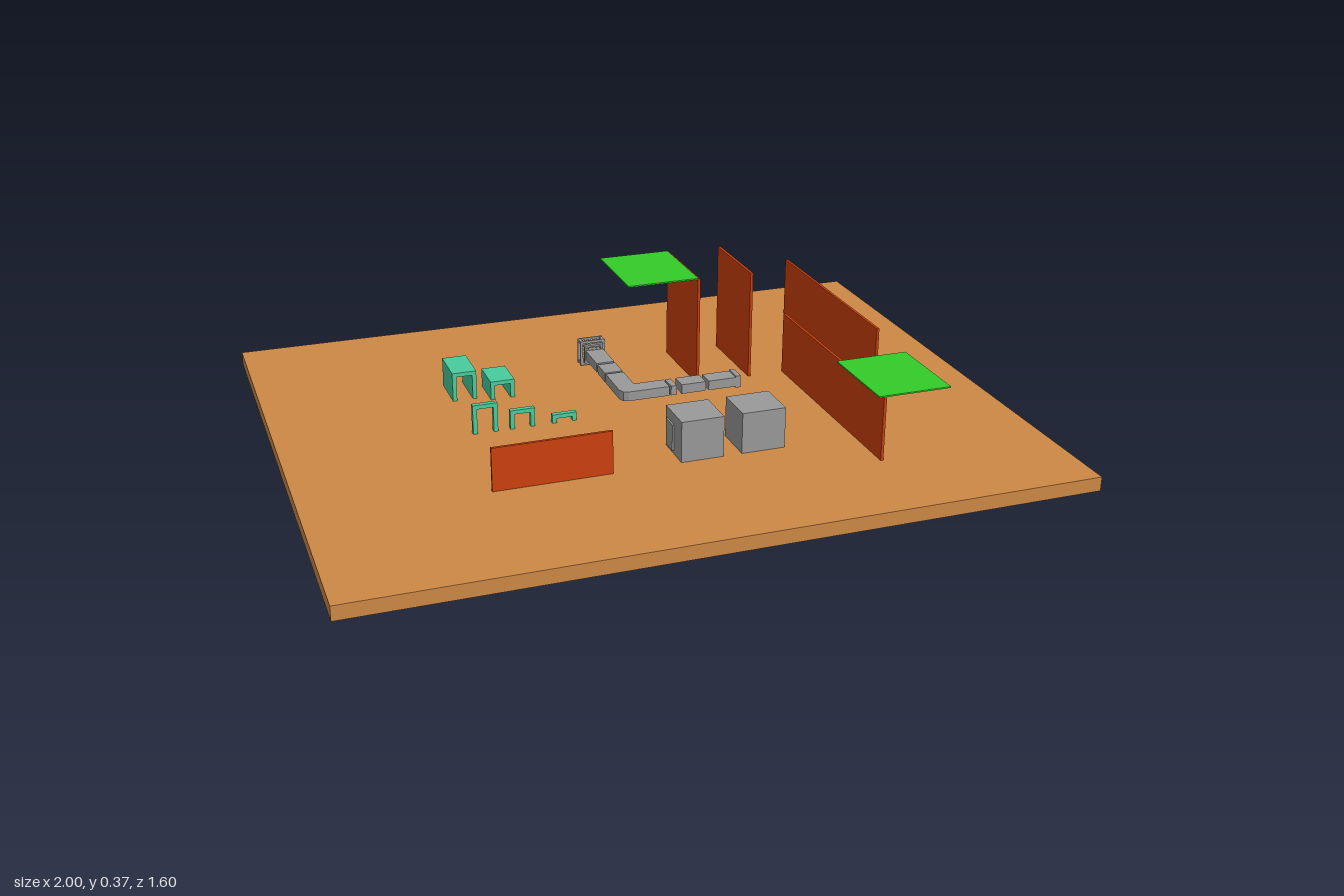
import * as THREE from 'three';

const mat = (color) => new THREE.MeshStandardMaterial({ color, flatShading: true, side: THREE.DoubleSide });

export function createModel() {
  const model = new THREE.Group();
  const earth = mat(0xcc8844), red = mat(0xcc400c), green = mat(0x33cc29);
  const teal = mat(0x48cc9c), grey = mat(0x999999);
  const FLOOR = 0.04;

  const add = (name, geometry, material) => {
    const mesh = new THREE.Mesh(geometry, material);
    mesh.name = name;
    model.add(mesh);
    return mesh;
  };
  // Box given by its minimum and maximum on each axis
  const box = (name, material, x0, x1, y0, y1, z0, z1) =>
    add(name, new THREE.BoxGeometry(x1 - x0, y1 - y0, z1 - z0), material)
      .position.set((x0 + x1) / 2, (y0 + y1) / 2, (z0 + z1) / 2);
  // Outline of [x, y] points
  const outline = (pts) => new THREE.Shape(pts.map(([x, y]) => new THREE.Vector2(x, y)));
  const extrude = (shape, depth) => new THREE.ExtrudeGeometry(shape, { depth, bevelEnabled: false });

  box('ground', earth, -1, 1, 0, FLOOR, -0.8, 0.8);

  // Free-standing walls
  const T = 0.004;
  for (const [x, z0, z1, top] of [
    [0.233, -0.38, -0.123, 0.362], [0.396, -0.38, -0.123, 0.362],
    [0.506, -0.128, 0.525, 0.222], [0.71, -0.578, 0.073, 0.222],
  ]) box('wall', red, x - T, x + T, FLOOR, top, z0, z1);
  box('lowWall', red, -0.514, -0.19, FLOOR, 0.162, 0.365 - T, 0.365 + T);

  // Thin platforms and the supporting post
  box('upperPlatform', green, 0.02, 0.231, 0.361, 0.365, -0.384, -0.123);
  box('lowerPlatform', green, 0.488, 0.697, 0.222, 0.226, 0.266, 0.525);
  box('post', green, 0.528, 0.564, FLOOR, 0.222, 0.338, 0.376);

  // Crates, one with a hatch on its side
  box('crate', grey, 0, 0.12, FLOOR, 0.156, 0.245, 0.365);
  box('crate', grey, 0.172, 0.296, FLOOR, 0.156, 0.245, 0.365);
  box('hatch', grey, -0.005, 0, 0.05, 0.125, 0.258, 0.308);

  // Arches: slim hurdles in front, deep tunnels behind
  const arch = (name, x, h, z0, z1) => {
    const w = 0.07, t = 0.012;
    const shape = outline([[0, 0], [t, 0], [t, h - t], [w - t, h - t], [w - t, 0], [w, 0], [w, h], [0, h]]);
    add(name, extrude(shape, z1 - z0), teal).position.set(x, FLOOR, z0);
  };
  arch('hurdle', -0.475, 0.085, -0.001, 0.014);
  arch('hurdle', -0.37, 0.055, -0.001, 0.014);
  arch('hurdle', -0.25, 0.025, -0.001, 0.014);
  arch('tunnel', -0.475, 0.085, -0.35, -0.225);
  arch('tunnel', -0.37, 0.055, -0.306, -0.2);

  // Ventilation duct: elbow plus separate straight lengths
  const D0 = 0.069, D1 = 0.097;
  const elbow = outline([
    [-0.043, 0.145], [-0.043, 0.022], [-0.036, 0.007], [-0.022, 0], [0.1, 0],
    [0.1, 0.053], [0.011, 0.053], [0.011, 0.145],
  ]);
  const elbowMesh = add('ductElbow', extrude(elbow, D1 - D0), grey);
  elbowMesh.rotation.x = -Math.PI / 2;
  elbowMesh.position.set(0, D0, 0);
  for (const [x0, x1] of [[0.105, 0.122], [0.137, 0.21], [0.219, 0.302]])
    box('duct', grey, x0, x1, D0, D1, -0.053, 0);
  box('ductMouth', grey, 0.302, 0.317, D0 - 0.004, D1 + 0.004, -0.053, 0);
  for (const [z0, z1] of [[-0.22, -0.153], [-0.335, -0.23]])
    box('duct', grey, -0.043, 0.011, D0, D1, z0, z1);

  // Vent at the far end: open frame, collar and grille
  const ventFrame = (name, half, border, depth, z) => {
    const square = (r) => [[-r, -r], [r, -r], [r, r], [-r, r]];
    const shape = outline(square(half));
    shape.holes.push(outline(square(half - border)));
    add(name, extrude(shape, depth), grey).position.set(-0.018, 0.085, z);
  };
  ventFrame('ventCollar', 0.028, 0.006, 0.012, -0.346);
  ventFrame('ventFrame', 0.038, 0.008, 0.006, -0.352);
  ventFrame('grilleFrame', 0.038, 0.006, 0.005, -0.377);
  for (let i = -2; i <= 2; i++) {
    const d = i * 0.0125;
    box('grilleBar', grey, -0.018 + d - 0.003, -0.018 + d + 0.003, 0.05, 0.12, -0.376, -0.373);
    box('grilleBar', grey, -0.053, 0.017, 0.085 + d - 0.003, 0.085 + d + 0.003, -0.376, -0.373);
  }
  for (const sx of [-1, 1]) for (const sy of [-1, 1]) {
    const x = -0.018 + sx * 0.033, y = 0.085 + sy * 0.033;
    box('ventSpacer', grey, x - 0.004, x + 0.004, y - 0.004, y + 0.004, -0.375, -0.35);
  }

  return model;
}
